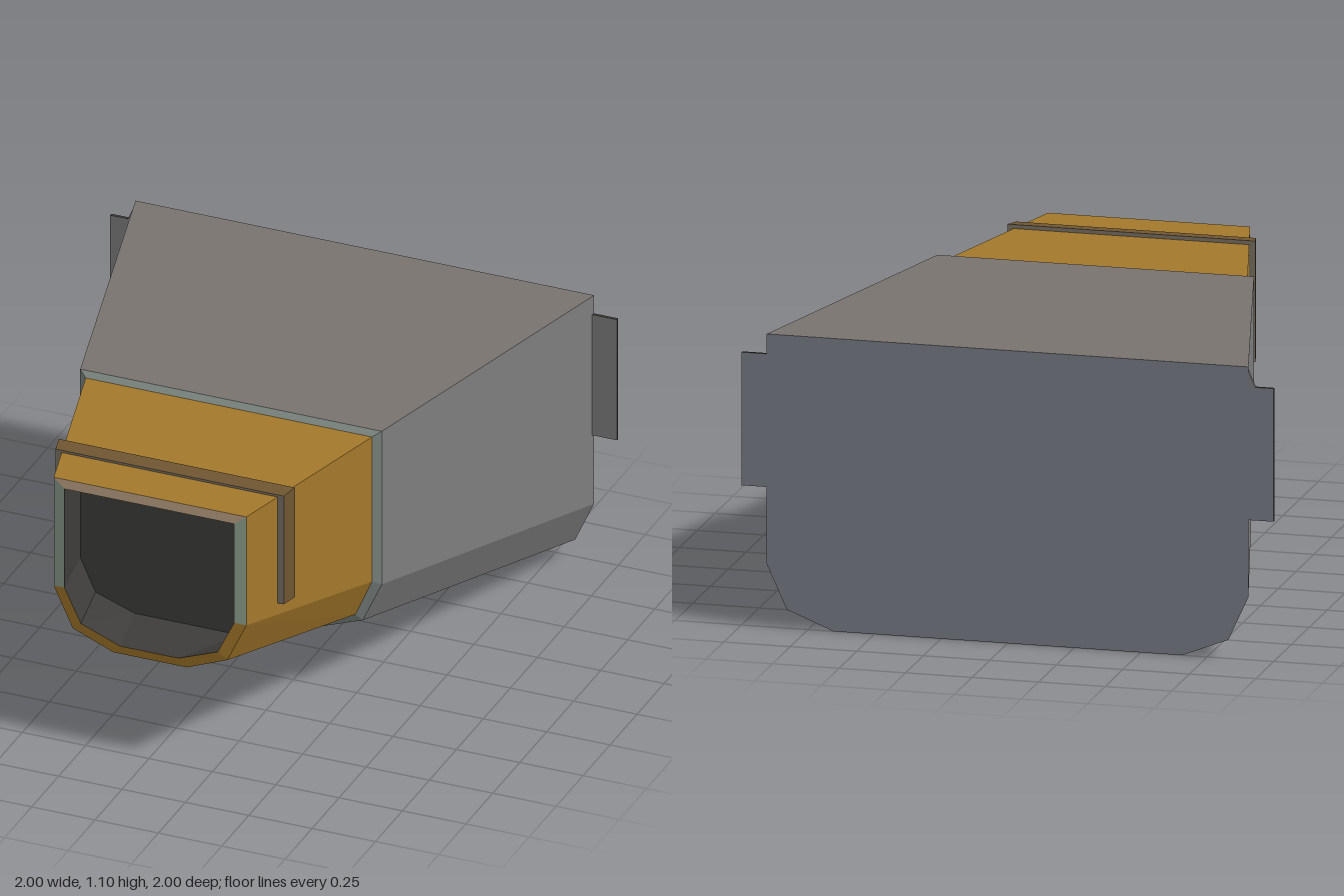
import * as THREE from 'three';

const material = (color) => new THREE.MeshStandardMaterial({ color, flatShading: true, side: THREE.DoubleSide });

// Half profile (top to bottom on the +x side) mirrored into a closed loop at depth z
function section(z, half) {
  const left = half.map(([x, y]) => [-x, y, z]);
  const right = half.map(([x, y]) => [x, y, z]).reverse();
  return [...left, ...right];
}

// Joins successive sections with quads; edges picks which sides are built
function loft(sections, edges = [0, 1, 2, 3, 4, 5, 6, 7]) {
  const pos = [];
  for (let s = 0; s < sections.length - 1; s++) {
    const a = sections[s], b = sections[s + 1];
    for (const i of edges) {
      const j = (i + 1) % a.length;
      for (const p of [a[i], a[j], b[j], a[i], b[j], b[i]]) pos.push(...p);
    }
  }
  return toGeometry(pos);
}

// Flat fan over a section, facing forward or backward
function cap(loop, forward) {
  const pos = [];
  for (let i = 1; i < loop.length - 1; i++) {
    const pair = forward ? [loop[i], loop[i + 1]] : [loop[i + 1], loop[i]];
    for (const p of [loop[0], ...pair]) pos.push(...p);
  }
  return toGeometry(pos);
}

function toGeometry(pos) {
  const g = new THREE.BufferGeometry();
  g.setAttribute('position', new THREE.Float32BufferAttribute(pos, 3));
  g.computeVertexNormals();
  return g;
}

export function createModel() {
  const group = new THREE.Group();
  const grey = material(0x7e7e7e), warmGrey = material(0x797370), coolGrey = material(0x797d87);
  const trim = material(0x7f8883), paleTrim = material(0x8fa08f), rimTan = material(0xac9478);
  const orange = material(0xa4782a), brown = material(0x705632), strapFront = material(0x7a7265);
  const dark = material(0x3e3d3b);
  const add = (name, geometry, mat) => {
    const mesh = new THREE.Mesh(geometry, mat);
    mesh.name = name;
    group.add(mesh);
    return mesh;
  };

  const back = section(-1, [[0.905, 1.1], [0.905, 0.235], [0.83, 0.07], [0.655, 0]]);
  const shoulder = section(0.24, [[0.595, 1.1], [0.595, 0.465], [0.52, 0.3], [0.345, 0.235]]);
  const step = section(0.26, [[0.565, 1.08], [0.565, 0.48], [0.5, 0.33], [0.335, 0.265]]);
  const lip = section(0.99, [[0.38, 1.08], [0.38, 0.63], [0.305, 0.47], [0.145, 0.405]]);
  const mouth = section(0.997, [[0.335, 1.045], [0.335, 0.635], [0.27, 0.5], [0.115, 0.44]]);
  const recess = section(0.65, [[0.42, 1.045], [0.42, 0.565], [0.36, 0.435], [0.205, 0.38]]);

  // Wide housing: sides and underside, top, back wall and bevelled front shoulder
  add('housingSides', loft([back, shoulder], [0, 1, 2, 3, 4, 5, 6]), grey);
  add('housingTop', loft([back, shoulder], [7]), warmGrey);
  add('backWall', cap(back, false), coolGrey);
  add('shoulderBevel', loft([shoulder, step]), trim);

  // Narrower tapered nozzle
  add('nozzle', loft([step, lip]), orange);

  // Rim around the opening
  add('rimSides', loft([lip, mouth], [0, 6]), paleTrim);
  add('rimTop', loft([lip, mouth], [7]), rimTan);
  add('rimBottom', loft([lip, mouth], [1, 2, 3, 4, 5]), orange);

  // Dark recess inside the opening
  add('recessWalls', loft([mouth, recess]), dark);
  add('recessEnd', cap(recess, true), dark);

  // Strap over the top and down both sides, following the taper
  const arch = new THREE.Shape([[-0.466, 0.64], [-0.425, 0.64], [-0.425, 1.065], [0.425, 1.065],
    [0.425, 0.64], [0.466, 0.64], [0.466, 1.095], [-0.466, 1.095]].map(([x, y]) => new THREE.Vector2(x, y)));
  const strap = new THREE.ExtrudeGeometry(arch, { depth: 0.065, bevelEnabled: false });
  strap.translate(0, 0, 0.743);
  const p = strap.attributes.position;
  for (let i = 0; i < p.count; i++) {
    if (p.getZ(i) > 0.77) p.setXY(i, p.getX(i) * 0.966, p.getY(i) - (p.getY(i) > 1.08 ? 0.006 : 0));
  }
  strap.computeVertexNormals();
  add('strap', strap, [strapFront, brown]);

  // Thin mounting tabs at the back
  for (const side of [-1, 1]) {
    const faces = [dark, dark, dark, dark, grey, coolGrey];
    const tab = add(side < 0 ? 'rightTab' : 'leftTab', new THREE.BoxGeometry(0.11, 0.5, 0.012), faces);
    tab.position.set(side * 0.945, 0.775, -0.994);
  }

  // Small gusset above the right tab
  const gusset = new THREE.Shape([[-0.9, 1.095], [-0.93, 1.025], [-0.9, 1.025]].map(([x, y]) => new THREE.Vector2(x, y)));
  add('tabGusset', new THREE.ExtrudeGeometry(gusset, { depth: 0.012, bevelEnabled: false }), grey).position.z = -1;

  return group;
}
